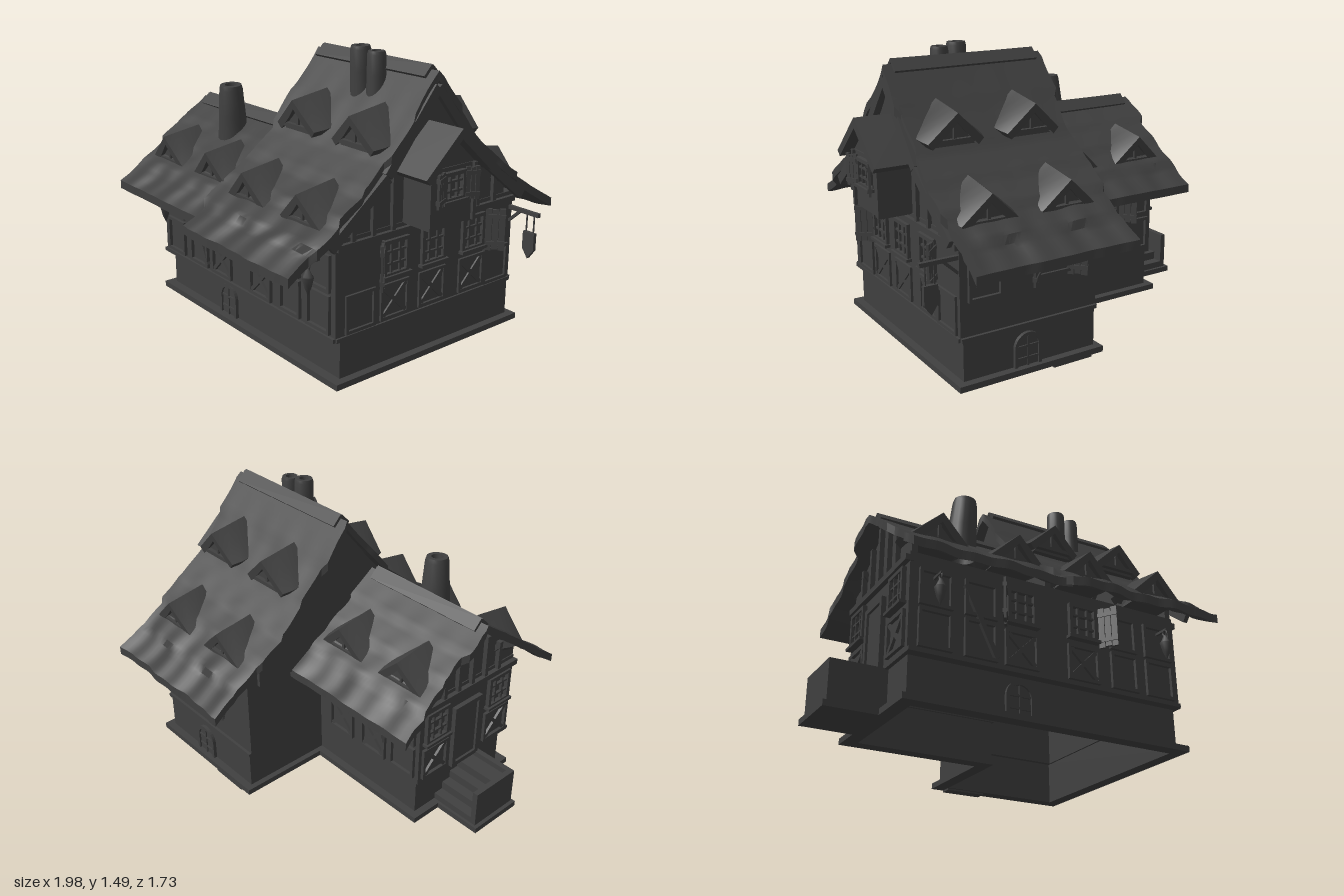
import * as THREE from 'three';
import { toCreasedNormals } from 'three/addons/utils/BufferGeometryUtils.js';

const mat = new THREE.MeshStandardMaterial({ color: 0x404040, side: THREE.DoubleSide });

function add(parent, name, geo, x = 0, y = 0, z = 0, rx = 0, ry = 0, rz = 0) {
  const m = new THREE.Mesh(geo, mat);
  m.name = name;
  m.position.set(x, y, z);
  m.rotation.set(rx, ry, rz);
  parent.add(m);
  return m;
}
const box = (p, name, w, h, d, x, y, z, rx, ry, rz) =>
  add(p, name, new THREE.BoxGeometry(w, h, d), x, y, z, rx, ry, rz);
const poly = (pts) => new THREE.Shape(pts.map(([x, y]) => new THREE.Vector2(x, y)));
const extrude = (shape, depth) =>
  new THREE.ExtrudeGeometry(shape, { depth, bevelEnabled: false, curveSegments: 8 });

// Roof slopes: [distance from ridge, height]
const TALL = [[0, 1.42], [0.16, 1.22], [0.3, 1.05], [0.42, 0.94], [0.65, 0.77], [0.855, 0.62]];
const LOW = [[0, 1.07], [0.2, 0.925], [0.42, 0.755], [0.555, 0.645]];
function heightAt(profile, d) {
  let i = 1;
  while (i < profile.length - 1 && profile[i][0] < d) i++;
  const [a, b] = [profile[i - 1], profile[i]];
  return a[1] + ((b[1] - a[1]) * (d - a[0])) / (b[0] - a[0]);
}

// L-shaped hollow ring of walls
function lShape(xl, xr, zf, zb, xi, zi, t) {
  return [[xl + t, t - zf], [xr - t, t - zf], [xr - t, -zb - t], [xi + t, -zb - t], [xi + t, -zi - t], [xl + t, -zi - t]];
}
function wallRing(p, name, y, h, t, ...ext) {
  const s = poly(lShape(...ext, 0));
  s.holes.push(poly(lShape(...ext, t)));
  add(p, name, extrude(s, h).rotateX(-Math.PI / 2), 0, y, 0);
}

// Sagging shingled roof: a thin box bent over the ridge, with stepped courses and ragged edges
function roof(p, name, profile, x0, x1, zc, courses) {
  const half = profile[profile.length - 1][0];
  const geo = new THREE.BoxGeometry(1, 1, 1, 36, 1, courses * 12);
  const pos = geo.attributes.position;
  for (let i = 0; i < pos.count; i++) {
    const u = pos.getX(i) + 0.5, s = pos.getZ(i) * 2, a = Math.abs(s);
    const side = s < 0 ? 2 : 0;
    const course = Math.floor(a * courses * 0.999), f = a * courses - course;
    const run = u * (x1 - x0);
    const wave = 0.6 * Math.sin(run * 15 + course * 2.3 + side) + 0.4 * Math.sin(run * 37 + course + side);
    const d = a * half * (1 + 0.014 * a * wave);
    const x = x0 + run + (u - 0.5) * 0.03 * Math.sin(course * 2.1 + side) + 0.006 * Math.sin(a * 23 + u * 3);
    const lift = a * (0.022 * f + 0.009 * wave * Math.sin(a * 9)) - 0.01 * Math.sin(u * Math.PI) * (1 - a);
    const y = heightAt(profile, a * half) + lift + (pos.getY(i) > 0 ? 0 : -0.045);
    pos.setXYZ(i, x, y, zc + Math.sign(s) * d);
  }
  add(p, name, toCreasedNormals(geo, 0.7));
  // Ridge boards
  for (const s of [-1, 1])
    box(p, 'ridgeBoard', x1 - x0 - 0.08, 0.015, 0.07, (x0 + x1) / 2, profile[0][1] - 0.007, zc + s * 0.023, s * 0.8, 0, s * 0.006);
}

// Small gabled dormer facing away from the ridge, its roof dipping and flaring towards the front
function dormer(p, x, zc, dist, profile, dir, raise = 0) {
  const g = new THREE.Group();
  g.name = 'dormer';
  g.position.set(x, heightAt(profile, dist) + raise, zc + dir * dist);
  g.rotation.y = dir > 0 ? 0 : Math.PI;
  p.add(g);
  const chevron = poly([[-0.145, -0.01], [-0.07, 0.06], [0, 0.125], [0.07, 0.06], [0.145, -0.01], [0.12, -0.04], [0.05, 0.025], [0, 0.08], [-0.05, 0.025], [-0.12, -0.04]]);
  const geo = new THREE.ExtrudeGeometry(chevron, { depth: 0.2, steps: 4, bevelEnabled: false });
  const pos = geo.attributes.position;
  for (let i = 0; i < pos.count; i++) {
    const k = pos.getZ(i) / 0.2, y = pos.getY(i);
    pos.setXYZ(i, pos.getX(i) * (1 + 0.15 * Math.sin(k * Math.PI)), y + (1 - k) * 0.035, pos.getZ(i) + k * y * 0.15);
  }
  add(g, 'dormerRoof', toCreasedNormals(geo, 0.5), 0, 0, -0.2);
  add(g, 'dormerFace', extrude(poly([[-0.11, -0.035], [0.11, -0.035], [0, 0.1]]), 0.15), 0, 0, -0.175);
  box(g, 'dormerSill', 0.2, 0.02, 0.025, 0, -0.01, -0.015);
  box(g, 'dormerPost', 0.015, 0.09, 0.015, 0, 0.035, -0.02);
}

// Wall details; x runs along the wall and z points outwards
function wallGroup(p, name, x, z, ry) {
  const g = new THREE.Group();
  g.name = name;
  g.position.set(x, 0, z);
  g.rotation.y = ry;
  p.add(g);
  return g;
}
function frame(g, name, x, y, w, h, t = 0.016, d = 0.024) {
  for (const s of [-1, 1]) {
    box(g, name, t, h, d, x + (s * (w - t)) / 2, y, 0);
    box(g, name, w, t, d, x, y + (s * (h - t)) / 2, 0);
  }
}
function crossPanel(g, x) {
  frame(g, 'panelFrame', x, 0.355, 0.18, 0.18);
  for (const s of [-1, 1]) box(g, 'crossBrace', 0.2, 0.02, 0.018, x, 0.355, 0, 0, 0, s * Math.PI / 4);
}
function windowAt(g, x, y = 0.57, w = 0.16, h = 0.18) {
  frame(g, 'windowFrame', x, y, w, h, 0.018, 0.035);
  for (const s of [-1, 1]) {
    box(g, 'windowBar', 0.01, h, 0.022, x + s * w / 6, y, 0);
    box(g, 'windowBar', w, 0.01, 0.022, x, y + s * h / 6, 0);
  }
  box(g, 'windowSill', w + 0.02, 0.015, 0.05, x, y - h / 2, 0.005);
}
// Shutter hinged at x, swung open towards side s
function shutter(g, x, y, s, h = 0.21, swing = 0.8, w = 0.1) {
  const leaf = new THREE.Group();
  leaf.name = 'shutter';
  leaf.position.set(x, y, 0.012);
  leaf.rotation.y = -s * swing;
  g.add(leaf);
  for (let i = 0; i < 3; i++) box(leaf, 'shutterPlank', w / 3 - 0.003, h - (i % 2) * 0.01, 0.012, s * w * (i + 0.5) / 3, 0, 0);
  for (const k of [-1, 1]) box(leaf, 'shutterBatten', w, 0.02, 0.022, s * w / 2, k * h * 0.32, 0);
}
function archDoor(g, x, z) {
  const arch = (w, h) => {
    const s = new THREE.Shape();
    s.moveTo(-w, 0); s.lineTo(w, 0); s.lineTo(w, h);
    s.absarc(0, h, w, 0, Math.PI); s.lineTo(-w, 0);
    return s;
  };
  const rim = arch(0.075, 0.095);
  rim.holes.push(arch(0.058, 0.095));
  add(g, 'doorArch', extrude(rim, 0.03), x, 0.04, z - 0.015);
  add(g, 'door', extrude(arch(0.058, 0.095), 0.01), x, 0.04, z - 0.005);
  box(g, 'doorBar', 0.01, 0.15, 0.02, x, 0.115, z + 0.002);
  for (const y of [0.08, 0.14]) box(g, 'doorBar', 0.11, 0.01, 0.02, x, y, z + 0.002);
}
function lantern(g, x) {
  box(g, 'lanternArm', 0.012, 0.012, 0.08, x, 0.61, 0.04);
  add(g, 'lanternHook', new THREE.TorusGeometry(0.014, 0.004, 6, 12), x, 0.595, 0.065, 0, Math.PI / 2);
  const prof = [[0, -0.09], [0.018, -0.05], [0.03, 0], [0.024, 0.005], [0.008, 0.04], [0, 0.045]];
  add(g, 'lantern', new THREE.LatheGeometry(prof.map(([r, y]) => new THREE.Vector2(r, y)), 6), x, 0.54, 0.065);
}
function chimney(p, x, y, z, r0, r1, h, rx, rz) {
  const prof = [[r0, 0], [(r0 + r1) / 2, h * 0.5], [r1, h * 0.93], [r1 * 0.9, h], [r1 * 0.5, h], [r1 * 0.45, h - 0.05], [0, h - 0.05]];
  const geo = new THREE.LatheGeometry(prof.map(([r, v]) => new THREE.Vector2(r, v)), 16);
  add(p, 'chimney', toCreasedNormals(geo, 0.7), x, y, z, rx, 0, rz);
}
// Gable wall filling the end of a roof, with an outline that follows the slope
function gable(p, profile, x, zc, half, y0) {
  const ds = [half, half * 0.75, half * 0.5, half * 0.25, 0];
  const right = ds.map((d) => [d, heightAt(profile, d) - 0.04]);
  const left = right.slice(0, 4).reverse().map(([d, y]) => [-d, y]);
  add(p, 'gableWall', extrude(poly([[-half, y0], [half, y0], ...right, ...left]), 0.03).rotateY(Math.PI / 2), x, 0, zc);
}
function gablePosts(g, profile, xs) {
  for (const x of xs) {
    const top = heightAt(profile, Math.abs(x)) - 0.06;
    box(g, 'gablePost', 0.022, top - 0.7, 0.03, x, (top + 0.7) / 2, 0);
  }
}

export function createModel() {
  const house = new THREE.Group();
  house.name = 'house';

  // Hollow plinth, stone ground floor and timbered storey
  wallRing(house, 'plinth', 0.01, 0.03, 0.07, -0.74, 0.8, 0.57, -0.66, 0, -0.16);
  wallRing(house, 'stoneBase', 0.03, 0.21, 0.03, -0.7, 0.76, 0.52, -0.62, 0.03, -0.12);
  wallRing(house, 'storey', 0.235, 0.49, 0.05, -0.72, 0.77, 0.555, -0.615, 0.02, -0.13);
  box(house, 'doorstep', 0.22, 0.02, 0.06, 0.18, 0.01, -0.63);

  // Roofs and gable ends
  roof(house, 'tallRoof', TALL, -0.045, 0.82, 0, 6);
  roof(house, 'lowRoof', LOW, -0.8, 0.0, 0.22, 4);
  gable(house, TALL, 0.735, 0, 0.55, 0.66);
  gable(house, TALL, 0.0, 0, 0.55, 0.66);
  gable(house, LOW, -0.715, 0.22, 0.335, 0.62);

  for (const dir of [-1, 1]) {
    for (const x of [0.2, 0.62]) {
      dormer(house, x, 0, 0.64, TALL, dir, 0.02);
      dormer(house, x, 0, 0.34, TALL, dir, 0.09);
    }
    for (const x of [-0.59, -0.18]) dormer(house, x, 0.22, 0.38, LOW, dir, 0.02);
  }
  chimney(house, -0.355, 0.9, 0.33, 0.082, 0.062, 0.32, 0.06, -0.05);
  chimney(house, 0.385, 1.25, 0.08, 0.054, 0.05, 0.24, 0.03, 0);
  chimney(house, 0.485, 1.25, 0.075, 0.048, 0.045, 0.225, 0, 0);

  // Front wall
  const front = wallGroup(house, 'frontWall', 0, 0.56, 0);
  box(front, 'sillBeam', 1.49, 0.02, 0.02, 0.025, 0.245, 0);
  for (const [x, w] of [[-0.59, 0.17], [-0.36, 0.17], [0.44, 0.16], [0.655, 0.17]]) {
    frame(front, 'panelFrame', x, 0.36, w, 0.19);
    frame(front, 'panelFrame', x, 0.56, w, 0.18);
  }
  box(front, 'diagonalBrace', 0.025, 0.37, 0.028, -0.36, 0.45, 0, 0, 0, 0.45);
  for (const x of [-0.145, 0.2]) { crossPanel(front, x); windowAt(front, x); }
  shutter(front, -0.235, 0.555, -1, 0.21, 1);
  shutter(front, 0.29, 0.555, 1, 0.21, 1);
  archDoor(front, -0.14, -0.038);
  lantern(front, -0.6);
  lantern(front, 0.66);

  // Right wall with bracketed sign and gable oriel
  const right = wallGroup(house, 'rightWall', 0.77, 0, Math.PI / 2);
  box(right, 'sillBeam', 1.17, 0.02, 0.02, 0.03, 0.245, 0);
  box(right, 'gableBeam', 1.17, 0.03, 0.04, 0.03, 0.69, 0);
  for (const x of [-0.2, 0.045, 0.32]) { crossPanel(right, x); windowAt(right, x); }
  for (const x of [-0.41, 0.5]) frame(right, 'panelFrame', x, 0.355, 0.18, 0.19);
  shutter(right, -0.285, 0.565, -1, 0.22);
  shutter(right, 0.405, 0.565, 1, 0.22);
  gablePosts(right, TALL, [-0.46, -0.34, -0.22, 0.22, 0.34, 0.46]);
  for (const s of [-1, 1]) { // bargeboards in two lengths, following the bend of the slope
    box(right, 'bargeboard', 0.47, 0.05, 0.025, s * 0.15, 1.165, 0.045, 0, 0, -s * 0.885);
    box(right, 'bargeboard', 0.42, 0.05, 0.025, s * 0.46, 0.845, 0.045, 0, 0, -s * 0.67);
  }
  add(right, 'gableVent', extrude(poly([[-0.07, 1.2], [0.07, 1.2], [0, 1.31]]), 0.03));

  const oriel = new THREE.Group();
  oriel.name = 'oriel';
  right.add(oriel);
  box(oriel, 'orielBody', 0.3, 0.28, 0.16, 0, 0.86, 0.075);
  add(oriel, 'orielGable', extrude(poly([[-0.15, 1.0], [0.15, 1.0], [0, 1.14]]), 0.15));
  const orielRoof = poly([[-0.22, 0.985], [0, 1.185], [0.22, 0.985], [0.195, 0.96], [0, 1.135], [-0.195, 0.96]]);
  add(oriel, 'orielRoof', extrude(orielRoof, 0.27), 0, 0, -0.06);
  const face = new THREE.Group();
  face.name = 'orielFace';
  face.position.z = 0.16;
  oriel.add(face);
  windowAt(face, 0, 0.91, 0.14, 0.14);
  for (const s of [-1, 1]) {
    shutter(face, s * 0.07, 0.91, s, 0.16, 0.4, 0.07);
    box(face, 'orielPost', 0.02, 0.28, 0.02, s * 0.14, 0.86, 0);
  }
  box(house, 'signArm', 0.2, 0.02, 0.02, 0.86, 0.64, -0.6);
  box(house, 'signStrut', 0.1, 0.014, 0.014, 0.805, 0.6, -0.6, 0, 0, 0.75);
  for (const x of [0.885, 0.93]) box(house, 'signChain', 0.006, 0.1, 0.006, x, 0.59, -0.6);
  add(house, 'signBoard', extrude(poly([[0.872, 0.54], [0.872, 0.45], [0.907, 0.4], [0.942, 0.45], [0.942, 0.54]]), 0.02), 0, 0, -0.61);

  // Back walls of the tall block and the low wing
  const back = wallGroup(house, 'backWall', 0, -0.62, Math.PI);
  box(back, 'sillBeam', 0.75, 0.02, 0.02, -0.395, 0.245, 0);
  windowAt(back, -0.28);
  shutter(back, -0.2, 0.56, 1);
  shutter(back, -0.36, 0.56, -1);
  frame(back, 'panelFrame', -0.64, 0.53, 0.18, 0.22);
  archDoor(back, -0.42, 0.003);
  const wing = wallGroup(house, 'wingBackWall', 0, -0.135, Math.PI);
  for (const x of [0.16, 0.4]) { crossPanel(wing, x); windowAt(wing, x); }
  shutter(wing, 0.485, 0.56, 1);
  for (const y of [0.36, 0.56]) frame(wing, 'panelFrame', 0.61, y, 0.17, 0.18);

  // Left wall with entrance and side stair
  const left = wallGroup(house, 'leftWall', -0.725, 0.22, -Math.PI / 2);
  frame(left, 'entranceFrame', -0.02, 0.42, 0.2, 0.37, 0.025, 0.04);
  box(left, 'entranceDoor', 0.16, 0.34, 0.015, -0.02, 0.41, 0);
  for (const x of [-0.24, 0.22]) { crossPanel(left, x); windowAt(left, x); }
  box(left, 'gableBeam', 0.68, 0.03, 0.04, 0, 0.69, 0);
  gablePosts(left, LOW, [-0.2, -0.1, 0, 0.1, 0.2]);

  const stair = new THREE.Group();
  stair.name = 'stair';
  house.add(stair);
  box(stair, 'stairPlinth', 0.28, 0.03, 0.31, -0.86, 0.025, 0.17);
  box(stair, 'stairOuterWall', 0.03, 0.22, 0.28, -0.965, 0.13, 0.17);
  box(stair, 'stairFrontWall', 0.28, 0.22, 0.03, -0.84, 0.13, 0.3);
  for (let i = 0; i < 4; i++) {
    const h = 0.045 * (i + 1), z = 0.03 + i * 0.055;
    box(stair, 'stairStep', 0.25, h, 0.29 - z, -0.825, 0.03 + h / 2, (z + 0.29) / 2);
  }
  return house;
}
